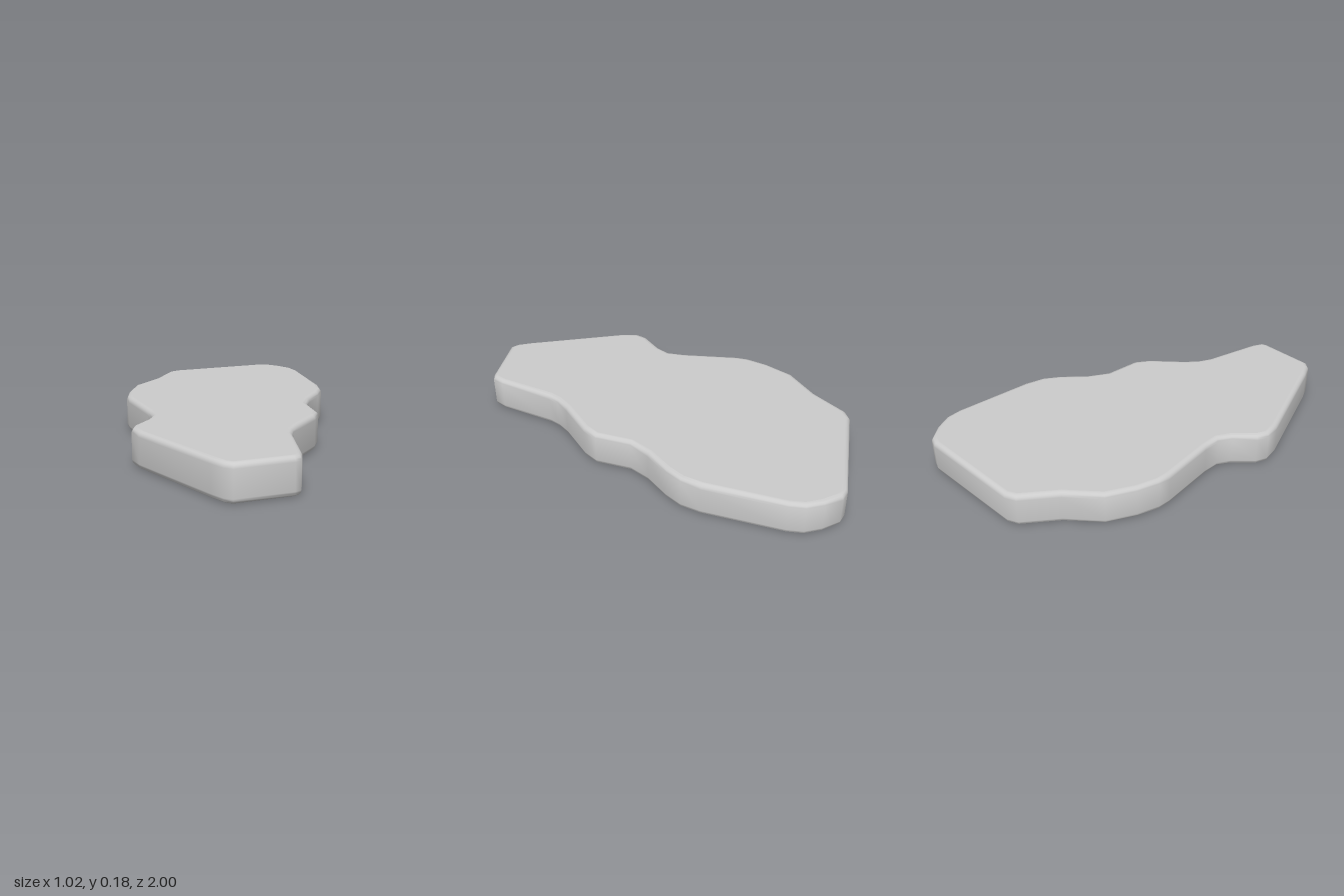
import * as THREE from 'three';
import { toCreasedNormals } from 'three/addons/utils/BufferGeometryUtils.js';

const HEIGHT = 0.175, BEVEL = 0.025;

// Slab outline seen from above, as [x, z]
const OUTLINE = [
  [0.19, -1], [0.24, -1], [0.32, -0.95], [0.38, -0.89], [0.41, -0.82],
  [0.5, -0.44], [0.507, -0.34], [0.485, -0.25], [0.43, -0.12], [0.41, -0.01],
  [0.45, 0.16], [0.43, 0.24], [0.34, 0.41], [0.315, 0.48], [0.307, 0.54],
  [0.332, 0.82], [0.325, 0.88], [0.3, 0.9], [0.05, 0.995], [0.01, 0.98],
  [-0.04, 0.93], [-0.37, 0.55], [-0.41, 0.48], [-0.407, 0.42], [-0.355, 0.31],
  [-0.342, 0.24], [-0.37, 0.16], [-0.49, -0.09], [-0.508, -0.15], [-0.512, -0.26],
  [-0.493, -0.41], [-0.4, -0.58], [-0.34, -0.77], [-0.3, -0.81],
];

export function createModel() {
  const group = new THREE.Group();
  group.name = 'steppingStone';

  // Flat slab with rounded top and bottom rims
  const shape = new THREE.Shape(OUTLINE.map(([x, z]) => new THREE.Vector2(x, -z)));
  const extruded = new THREE.ExtrudeGeometry(shape, {
    depth: HEIGHT - 2 * BEVEL,
    bevelThickness: BEVEL,
    bevelSize: BEVEL,
    bevelOffset: -BEVEL,
    bevelSegments: 5,
  });
  extruded.rotateX(-Math.PI / 2).translate(0, BEVEL, 0);
  const geometry = toCreasedNormals(extruded, 1);

  // Keep the top and bottom faces perfectly flat in shading
  const pos = geometry.attributes.position, nor = geometry.attributes.normal;
  for (let i = 0; i < pos.count; i += 3) {
    const ys = [0, 1, 2].map((k) => pos.getY(i + k));
    if (Math.max(...ys) - Math.min(...ys) > 1e-5) continue;
    for (let k = 0; k < 3; k++) nor.setXYZ(i + k, 0, ys[0] > HEIGHT / 2 ? 1 : -1, 0);
  }

  const slab = new THREE.Mesh(geometry, new THREE.MeshStandardMaterial({ color: 0xcccccc }));
  slab.name = 'stoneSlab';
  group.add(slab);
  return group;
}
